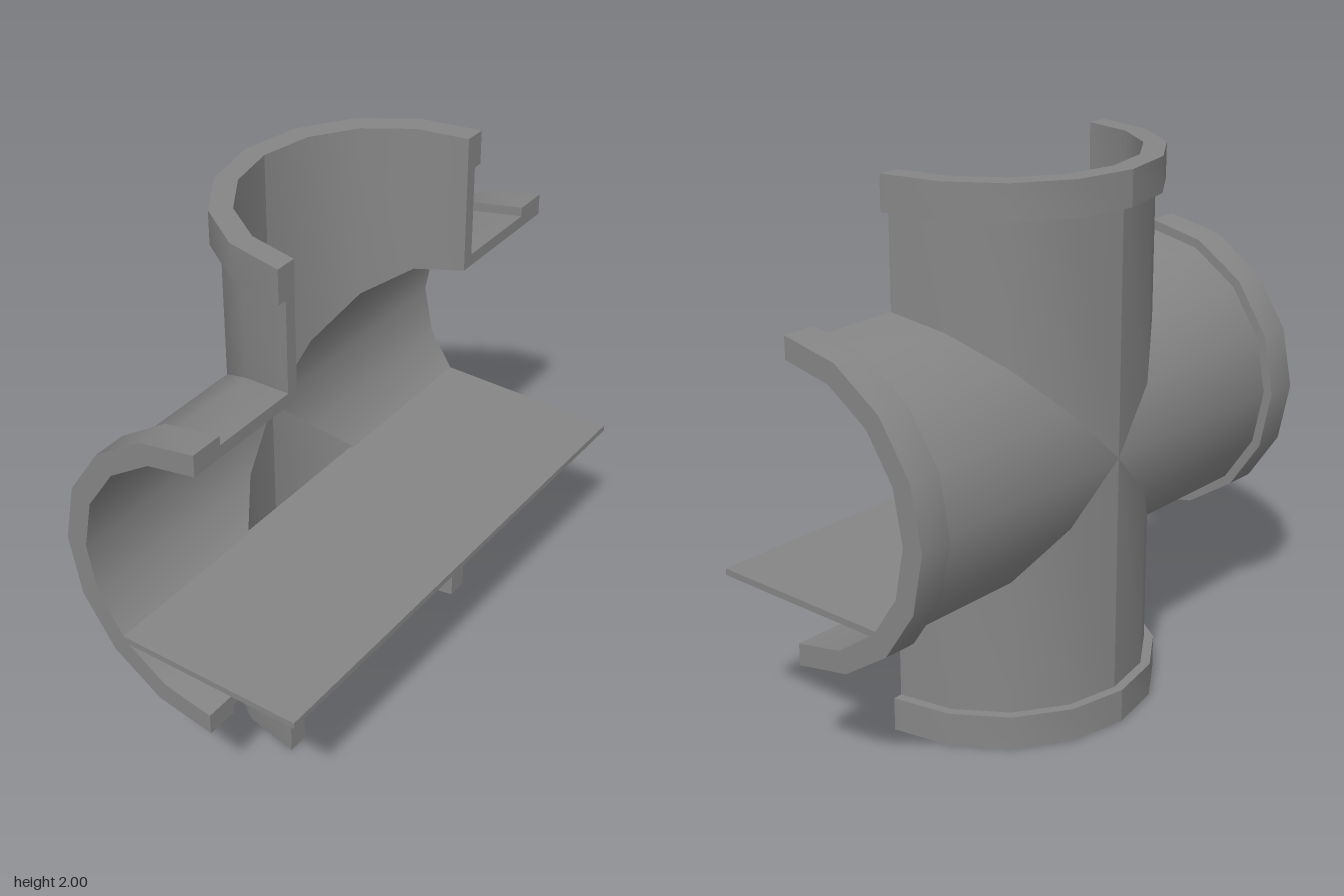
import * as THREE from 'three';
import { mergeGeometries, toCreasedNormals } from 'three/addons/utils/BufferGeometryUtils.js';

const INNER = 0.49, OUTER = 0.535, COLLAR = 0.57, COLLAR_START = 0.875;
const CUT_Z = 0.11, SEGMENTS = 8, CREASE = 0.5;

// Wall section as [radius, height]; a null height follows the mitre.
const SECTION = [
  [INNER, null], [INNER, 1], [COLLAR, 1],
  [COLLAR, COLLAR_START], [OUTER, COLLAR_START], [OUTER, null],
];

// One side of a half-pipe arm along +y, mitred at 45 degrees at the crossing.
function armSide(isLeft) {
  const n = SECTION.length, steps = SEGMENTS / 2;
  const start = isLeft ? 0 : steps;
  const positions = [], index = [];
  for (let i = 0; i <= steps; i++) {
    const t = ((start + i) / SEGMENTS) * Math.PI;
    for (const [r, height] of SECTION) {
      const x = r * Math.cos(t);
      positions.push(x, height ?? Math.abs(x), CUT_Z - r * Math.sin(t));
    }
  }
  // Inner wall, end rim, collar and outer wall
  for (let i = 0; i < steps; i++) {
    for (let k = 0; k < n - 1; k++) {
      const a = i * n + k, b = a + 1, c = b + n, d = a + n;
      index.push(a, b, c, a, c, d);
    }
  }
  // Flat cut face
  const base = isLeft ? 0 : steps * n;
  for (const [p, q] of [[2, 3], [3, 4], [4, 5], [5, 0]]) {
    if (isLeft) index.push(base + 1, base + q, base + p);
    else index.push(base + 1, base + p, base + q);
  }
  const geometry = new THREE.BufferGeometry();
  geometry.setAttribute('position', new THREE.Float32BufferAttribute(positions, 3));
  geometry.setIndex(index);
  return geometry;
}

export function createModel() {
  const group = new THREE.Group();
  group.name = 'halfPipeCross';
  const material = new THREE.MeshStandardMaterial({ color: 0x868686 });

  // Upright arms keep a crease down the middle; level arms are smooth throughout.
  const sides = [armSide(true), armSide(false)];
  const uprightArm = mergeGeometries(sides.map((side) => toCreasedNormals(side, CREASE)));
  const levelArm = toCreasedNormals(mergeGeometries(sides), CREASE);

  // Four arms around the crossing
  ['topArm', 'rightArm', 'bottomArm', 'leftArm'].forEach((name, i) => {
    const mesh = new THREE.Mesh(i % 2 ? levelArm : uprightArm, material);
    mesh.name = name;
    mesh.position.y = 1;
    mesh.rotation.z = (i * Math.PI) / 2;
    group.add(mesh);
  });

  // Floor plate along the horizontal pipe, its back edge sunk into the wall
  const plate = new THREE.Mesh(new THREE.BoxGeometry(2, 0.024, 0.72), material);
  plate.name = 'floorPlate';
  plate.position.set(0, 0.661, 0.1);
  group.add(plate);

  return group;
}
